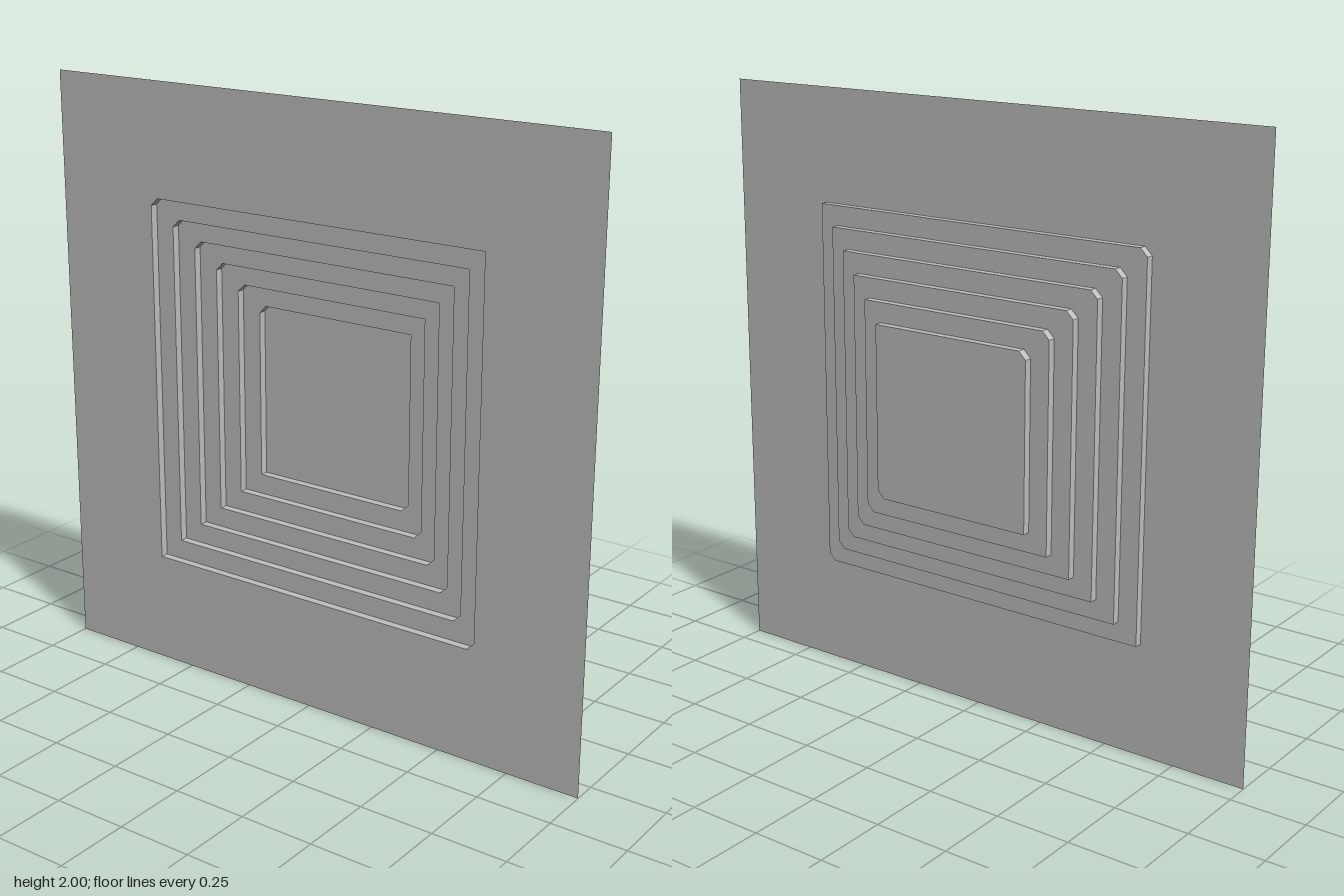
import * as THREE from 'three';

const STEPS = 6, DEPTH = 0.16 / STEPS, FRONT = 0.08;
const CHAMFER = 0.025;
const halfSize = (i) => 0.623 - i * 0.0665;

// Square outline with the upper-left and lower-right corners cut
function outline(h, c = CHAMFER) {
  return [[-h, -h], [h - c, -h], [h, -h + c], [h, h], [-h + c, h], [-h, h - c]]
    .map(([x, y]) => new THREE.Vector2(x, y));
}

// Flat plate, optionally with an opening
function plate(points, opening) {
  const shape = new THREE.Shape(points);
  if (opening) shape.holes.push(new THREE.Path(opening));
  return new THREE.ShapeGeometry(shape);
}

// Band of inward-facing walls running back from an outline
function walls(points, depth) {
  const pos = [];
  points.forEach((a, i) => {
    const b = points[(i + 1) % points.length];
    pos.push(a.x, a.y, 0, b.x, b.y, 0, b.x, b.y, -depth);
    pos.push(a.x, a.y, 0, b.x, b.y, -depth, a.x, a.y, -depth);
  });
  const g = new THREE.BufferGeometry();
  g.setAttribute('position', new THREE.Float32BufferAttribute(pos, 3));
  g.computeVertexNormals();
  return g;
}

export function createModel() {
  const model = new THREE.Group();
  model.name = 'steppedRecessPanel';
  const grey = new THREE.MeshStandardMaterial({ color: 0xbfbfbf, side: THREE.DoubleSide });
  grey.name = 'grey';

  const add = (name, geometry, z) => {
    const mesh = new THREE.Mesh(geometry, grey);
    mesh.name = name;
    mesh.position.set(0, 1, z);
    model.add(mesh);
  };

  // Large thin sheet around the recess
  add('sheet', plate(outline(1, 0), outline(halfSize(0))), FRONT);

  // Each step is a wall band and a ledge; the last ledge is the closed floor
  for (let i = 0; i < STEPS; i++) {
    const z = FRONT - i * DEPTH;
    const edge = outline(halfSize(i));
    const last = i === STEPS - 1;
    add(`stepWall${i + 1}`, walls(edge, DEPTH), z);
    add(last ? 'recessFloor' : `stepLedge${i + 1}`,
      plate(edge, last ? null : outline(halfSize(i + 1))), z - DEPTH);
  }
  return model;
}
